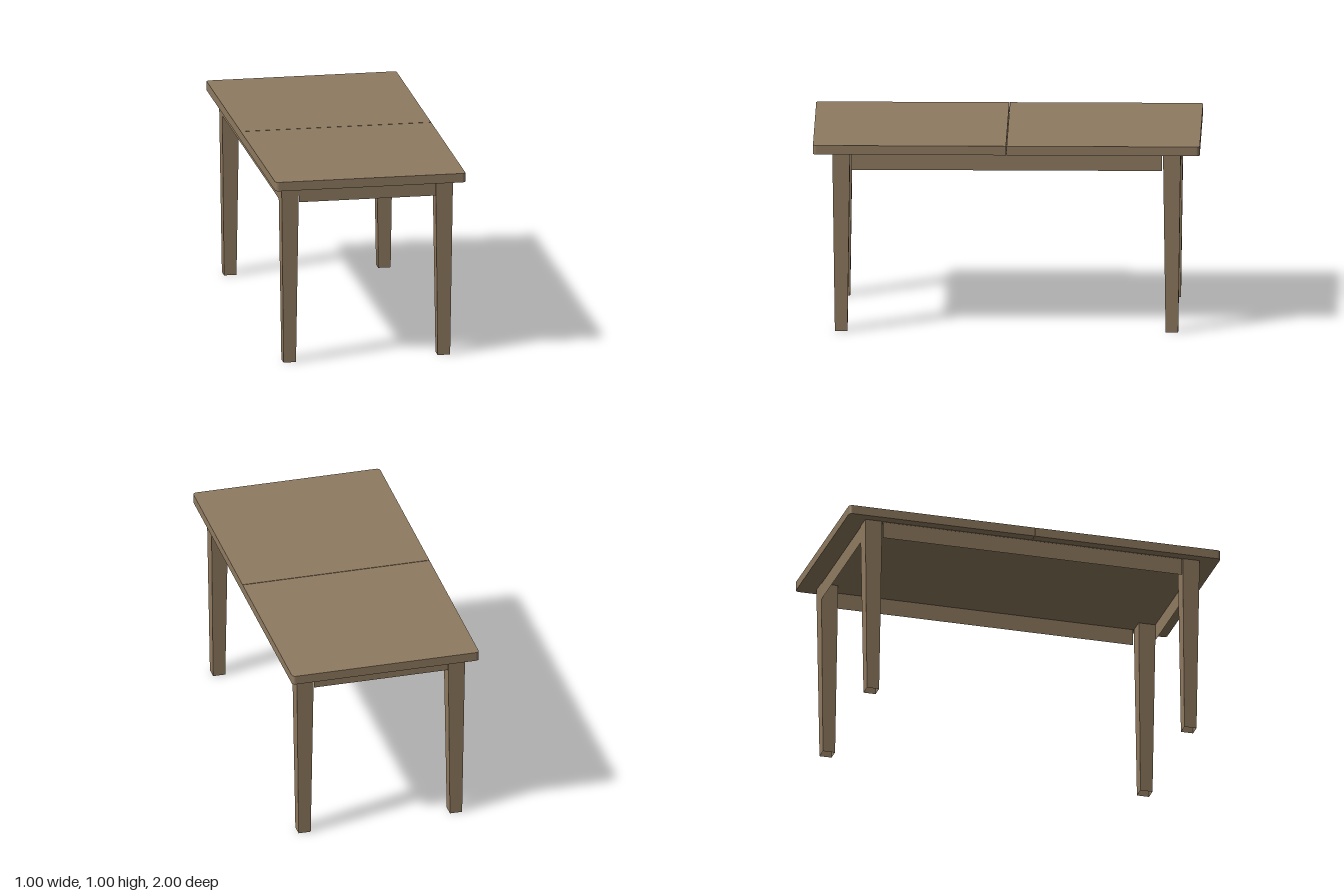
import * as THREE from 'three';

export function createModel() {
  const table = new THREE.Group();
  table.name = 'table';
  const wood = new THREE.MeshStandardMaterial({ color: 0x8f7a60, side: THREE.DoubleSide, flatShading: true });
  wood.name = 'brown wood';

  const add = (name, geometry, x = 0, y = 0, z = 0) => {
    const mesh = new THREE.Mesh(geometry, wood);
    mesh.name = name;
    mesh.position.set(x, y, z);
    table.add(mesh);
    return mesh;
  };

  // Two tabletop leaves with rounded outer corners and a narrow seam between
  const topY = 1, underY = 0.952, r = 0.018, seam = 0.002;
  const leaf = new THREE.Shape();
  leaf.moveTo(-0.5, seam);
  leaf.lineTo(0.5, seam);
  leaf.lineTo(0.5, 1 - r);
  leaf.absarc(0.5 - r, 1 - r, r, 0, Math.PI / 2);
  leaf.absarc(-0.5 + r, 1 - r, r, Math.PI / 2, Math.PI);
  leaf.closePath();
  const leafGeometry = new THREE.ExtrudeGeometry(leaf, {
    depth: topY - underY, bevelEnabled: false, curveSegments: 4,
  }).rotateX(-Math.PI / 2);
  add('backLeaf', leafGeometry, 0, underY, 0);
  add('frontLeaf', leafGeometry, 0, underY, 0).rotation.y = Math.PI;

  // Tapered square legs, open at the ends
  const legHeight = underY;
  const legGeometry = new THREE.CylinderGeometry(
    0.0455 * Math.SQRT2, 0.0325 * Math.SQRT2, legHeight, 4, 1, true,
  ).rotateY(Math.PI / 4);
  for (const [sideName, sx] of [['Left', 1], ['Right', -1]]) {
    for (const [endName, sz] of [['front', 1], ['back', -1]]) {
      add(`${endName}${sideName}Leg`, legGeometry, sx * 0.405, legHeight / 2, sz * 0.855);
    }
  }

  // Thin apron boards flush with the outer faces of the legs
  const endApron = new THREE.PlaneGeometry(0.716, 0.088);
  const sideApron = new THREE.PlaneGeometry(1.61, 0.092).rotateY(Math.PI / 2);
  add('frontApron', endApron, 0, 0.904, 0.899);
  add('backApron', endApron, 0, 0.904, -0.899).rotation.y = Math.PI;
  add('leftApron', sideApron, 0.449, 0.906, 0);
  add('rightApron', sideApron, -0.449, 0.906, 0).rotation.y = Math.PI;

  // Thin panel closing the frame below the seam
  add('underPanel', new THREE.PlaneGeometry(0.9, 1.8).rotateX(Math.PI / 2), 0, 0.948, 0);

  return table;
}
